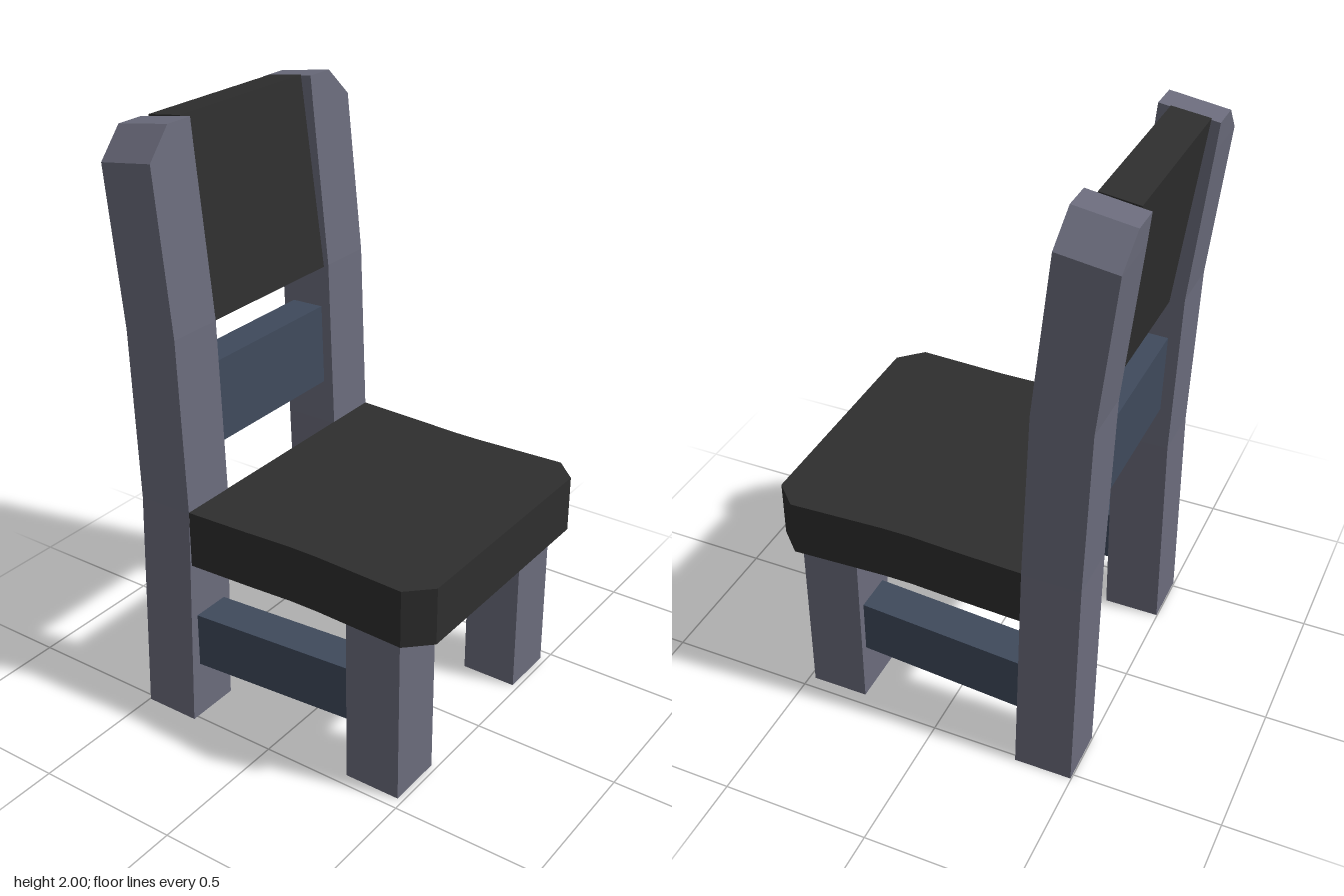
import * as THREE from 'three';

const material = (name, color) => {
  const m = new THREE.MeshStandardMaterial({ color });
  m.name = name;
  return m;
};

// Loft through rings of four corners, listed anticlockwise seen from above.
function loft(rings) {
  const pos = [];
  const quad = (a, b, c, d) => pos.push(...a, ...b, ...c, ...a, ...c, ...d);
  for (let i = 0; i < rings.length - 1; i++) {
    const lo = rings[i], hi = rings[i + 1];
    for (let j = 0; j < 4; j++) {
      const k = (j + 1) % 4;
      quad(lo[j], lo[k], hi[k], hi[j]);
    }
  }
  quad(...rings[rings.length - 1]);
  quad(...[...rings[0]].reverse());
  const g = new THREE.BufferGeometry();
  g.setAttribute('position', new THREE.Float32BufferAttribute(pos, 3));
  g.computeVertexNormals();
  return g;
}

export function createModel() {
  const group = new THREE.Group();
  group.name = 'chair';
  const frame = material('grey frame', 0x6b6c7c);
  const pad = material('black padding', 0x2e2e2e);
  const rail = material('blue rails', 0x3f4a5c);

  const add = (name, geometry, mat, x = 0, y = 0, z = 0) => {
    const mesh = new THREE.Mesh(geometry, mat);
    mesh.name = name;
    mesh.position.set(x, y, z);
    group.add(mesh);
    return mesh;
  };

  // Back post sections: inner x, outer x, front y, front z, back y, back z
  const sections = [
    [0.325, 0.518, 0, -0.302, 0, -0.497],
    [0.295, 0.488, 0.78, -0.302, 0.78, -0.497],
    [0.295, 0.488, 1.37, -0.322, 1.36, -0.515],
    [0.295, 0.488, 1.905, -0.377, 1.878, -0.569],
    [0.295, 0.395, 2, -0.386, 1.971, -0.578],
  ];

  for (const [s, side] of [[1, 'left'], [-1, 'right']]) {
    const rings = sections.map(([xi, xo, yf, zf, yb, zb]) => {
      const l = Math.min(s * xi, s * xo), r = Math.max(s * xi, s * xo);
      return [[l, yf, zf], [r, yf, zf], [r, yb, zb], [l, yb, zb]];
    });
    add(side + 'BackPost', loft(rings), frame);

    add(side + 'FrontLeg', new THREE.BoxGeometry(0.197, 0.6, 0.196), frame, s * 0.361, 0.3, 0.382);

    // Side stretcher, splayed outward toward the back
    const g = new THREE.BoxGeometry(0.135, 0.192, 0.6);
    const p = g.attributes.position;
    for (let i = 0; i < p.count; i++) p.setX(i, p.getX(i) - s * 0.07 * p.getZ(i));
    g.computeVertexNormals();
    add(side + 'Stretcher', g, rail, s * 0.386, 0.296, -0.008);
  }

  // Seat with a slight waist and clipped front corners
  const half = [[0.488, -0.303], [0.479, -0.08], [0.47, 0.08], [0.47, 0.18], [0.484, 0.497], [0.408, 0.575]];
  const outline = [...half, ...half.map(([x, z]) => [-x, z]).reverse()];
  const seat = new THREE.ExtrudeGeometry(
    new THREE.Shape(outline.map(([x, z]) => new THREE.Vector2(x, -z))),
    { depth: 0.195, bevelEnabled: false });
  seat.rotateX(-Math.PI / 2);
  add('seat', seat, pad, 0, 0.59, 0);

  // Leaning back panel and lower back rail
  add('backPanel', new THREE.BoxGeometry(0.59, 0.644, 0.126), pad, 0, 1.67, -0.445).rotation.x = -0.132;
  add('backRail', new THREE.BoxGeometry(0.59, 0.28, 0.118), rail, 0, 1.071, -0.407).rotation.x = -0.03;

  return group;
}
